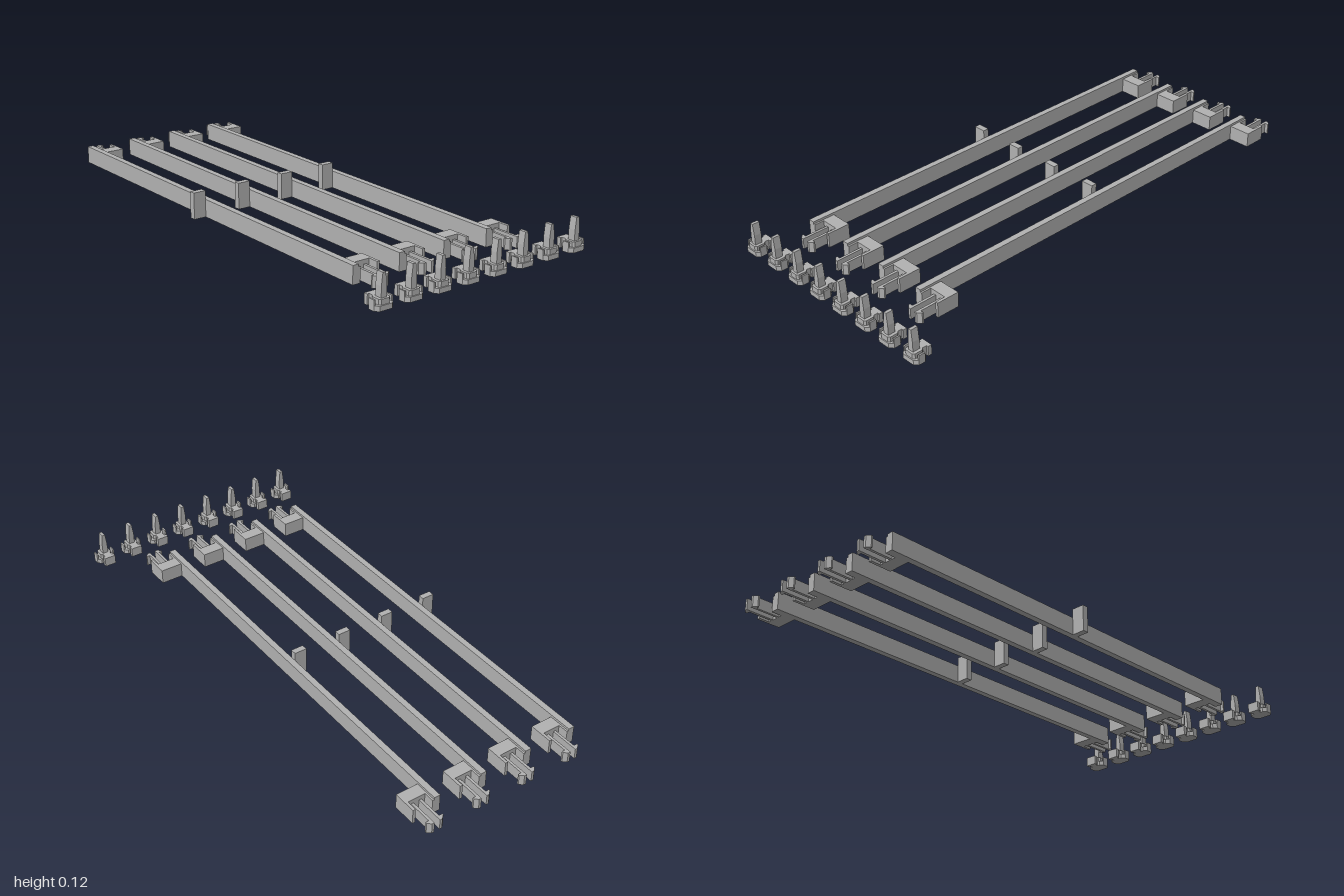
import * as THREE from 'three';

const grey = new THREE.MeshStandardMaterial({ color: 0xb2b2b2, flatShading: true });
grey.name = 'plain grey';

function add(group, name, geometry) {
  const mesh = new THREE.Mesh(geometry, grey);
  mesh.name = name;
  group.add(mesh);
  return mesh;
}

// Box given by its limits on each axis
function box(group, name, x0, x1, y0, y1, z0, z1) {
  const g = new THREE.BoxGeometry(x1 - x0, y1 - y0, z1 - z0);
  g.translate((x0 + x1) / 2, (y0 + y1) / 2, (z0 + z1) / 2);
  return add(group, name, g);
}

// Plan outline of [x, z] points raised to a height
function slab(group, name, points, height) {
  const shape = new THREE.Shape(points.map(([x, z]) => new THREE.Vector2(x, -z)));
  const g = new THREE.ExtrudeGeometry(shape, { depth: height, bevelEnabled: false });
  g.rotateX(-Math.PI / 2);
  return add(group, name, g);
}

// Rectangle outline with cut corners
function cutRect(hx, hz, c) {
  return [[-hx, -hz + c], [-hx + c, -hz], [hx - c, -hz], [hx, -hz + c],
    [hx, hz - c], [hx - c, hz], [-hx + c, hz], [-hx, hz - c]];
}

// End socket with a snap-fit fork; z = 0 is the inner face, dir points outward
function endClip(dir, forkLength) {
  const clip = new THREE.Group();
  clip.name = 'endClip';
  const zBox = (name, x0, x1, h, a, b) =>
    box(clip, name, x0, x1, 0, h, Math.min(a * dir, b * dir), Math.max(a * dir, b * dir));
  zBox('socketBlock', 0.023, 0.111, 0.058, 0, 0.05);
  zBox('socketArm', 0.1, 0.111, 0.058, 0.05, 0.09);
  zBox('innerArm', 0.023, 0.031, 0.058, 0.05, 0.09);
  // Two prongs with outward barbs
  for (const s of [-1, 1]) {
    const outline = [[0.011, 0.045], [0.021, 0.045], [0.021, forkLength - 0.018],
      [0.034, forkLength - 0.018], [0.034, forkLength - 0.012],
      [0.021, forkLength], [0.011, forkLength]];
    slab(clip, 'forkProng', outline.map(([x, z]) => [0.066 + s * x, dir * z]), 0.042);
  }
  return clip;
}

// Long rail with a handle tab and a clip at each end
function rail() {
  const group = new THREE.Group();
  group.name = 'rail';
  box(group, 'railBar', 0, 0.024, 0, 0.067, -0.93, 0.78);
  box(group, 'railTab', -0.049, 0, 0, 0.1, -0.087, -0.063);
  const front = endClip(1, 0.16);
  front.position.z = 0.69;
  const back = endClip(-1, 0.16);
  back.position.z = -0.84;
  group.add(front, back);
  return group;
}

// Small peg: eight-sided foot, ears, rear tab and pointed blade
function peg() {
  const group = new THREE.Group();
  group.name = 'peg';
  slab(group, 'pegFoot', cutRect(0.038, 0.026, 0.013), 0.018);
  slab(group, 'pegBody', cutRect(0.0225, 0.022, 0.007), 0.037);
  for (const s of [-1, 1]) {
    box(group, 'pegEar', s * 0.035 - 0.003, s * 0.035 + 0.003, 0, 0.037, -0.013, 0.013);
  }
  box(group, 'pegNeck', -0.015, 0.015, 0, 0.037, -0.04, -0.018);
  box(group, 'pegRearTab', -0.0225, 0.0225, 0, 0.037, -0.053, -0.038);
  const outline = [[-0.011, 0.03], [0.011, 0.03], [0.011, 0.075], [0.006, 0.12],
    [-0.006, 0.12], [-0.011, 0.075]];
  const blade = new THREE.ExtrudeGeometry(
    new THREE.Shape(outline.map(([x, y]) => new THREE.Vector2(x, y))),
    { depth: 0.028, bevelEnabled: false });
  blade.translate(0, 0, -0.014);
  add(group, 'pegBlade', blade);
  return group;
}

export function createModel() {
  const model = new THREE.Group();
  model.name = 'railKit';
  // Four parallel rails
  for (let i = 0; i < 4; i++) {
    const r = rail();
    r.position.x = -0.379 + i * 0.1943;
    model.add(r);
  }
  // Row of eight loose pegs in front
  for (let i = 0; i < 8; i++) {
    const p = peg();
    p.position.set(-0.426 + i * 0.1215, 0, 0.974);
    model.add(p);
  }
  return model;
}
